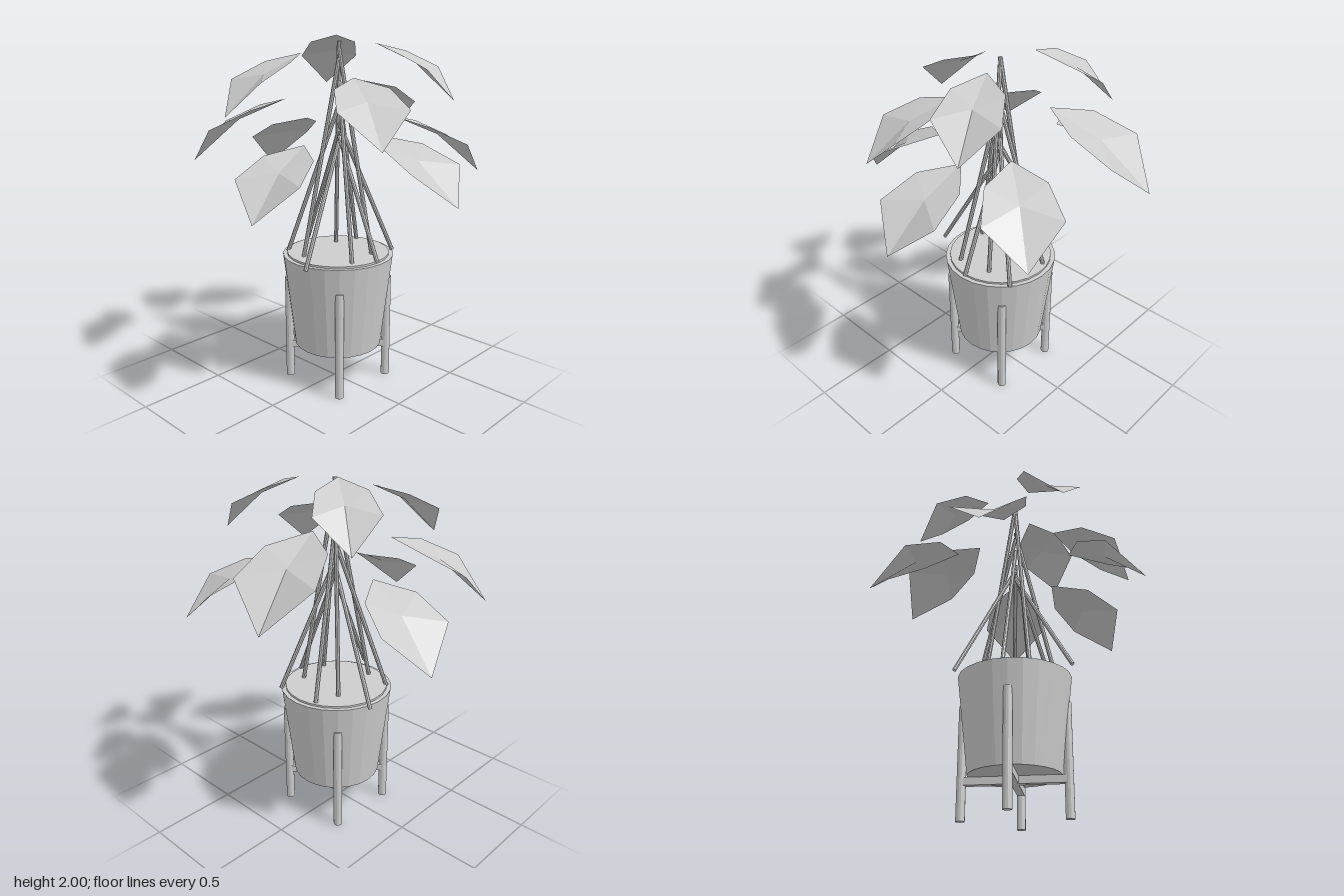
import * as THREE from 'three';

const CX = 0.005, CZ = -0.025;

export function createModel() {
  const group = new THREE.Group();
  const grey = new THREE.MeshStandardMaterial({ color: 0xcccccc, flatShading: true, side: THREE.DoubleSide });
  grey.name = 'grey';

  const add = (name, geometry, x = 0, y = 0, z = 0) => {
    const mesh = new THREE.Mesh(geometry, grey);
    mesh.name = name;
    mesh.position.set(x, y, z);
    group.add(mesh);
    return mesh;
  };

  // Tapered pot with the soil rising just above its rim
  add('pot', new THREE.CylinderGeometry(0.32, 0.255, 0.55, 24), CX, 0.503, CZ);
  add('soil', new THREE.CylinderGeometry(0.295, 0.295, 0.04, 24), CX, 0.769, CZ);

  // Stand: four round legs and two crossed bars under the pot
  for (const sx of [-1, 1]) {
    for (const sz of [-1, 1]) {
      add('standLeg', new THREE.CylinderGeometry(0.025, 0.025, 0.63, 12), CX + sx * 0.203, 0.315, CZ + sz * 0.203);
    }
    const bar = add('standBar', new THREE.BoxGeometry(0.56, 0.042, 0.042), CX, 0.207, CZ);
    bar.rotation.y = sx * Math.PI / 4;
  }

  // A straight round rod between two points
  const rod = (name, a, b, radius) => {
    const dir = b.clone().sub(a);
    const mesh = add(name, new THREE.CylinderGeometry(radius, radius, dir.length(), 8));
    mesh.position.copy(a).add(b).multiplyScalar(0.5);
    mesh.quaternion.setFromUnitVectors(new THREE.Vector3(0, 1, 0), dir.normalize());
  };

  // Six-cornered leaf around a middle point: [along, across, drop] as fractions
  const outline = [
    [0, 0, 0], [0.32, 0.31, 0.14], [0.73, 0.395, 0.43],
    [1, 0, 1], [0.73, -0.395, 0.43], [0.32, -0.31, 0.14],
  ];
  const leaf = (base, tip) => {
    const run = new THREE.Vector3(tip.x - base.x, 0, tip.z - base.z);
    const side = new THREE.Vector3(run.z, 0, -run.x);
    const drop = base.y - tip.y;
    const point = ([along, across, fall]) => base.clone()
      .addScaledVector(run, along).addScaledVector(side, across)
      .add(new THREE.Vector3(0, -drop * fall, 0));
    const centre = point([0.5, 0, 0.33]);
    const corners = outline.map(point);
    const points = corners.flatMap((p, i) => [centre, corners[(i + 1) % 6], p]);
    const geometry = new THREE.BufferGeometry().setFromPoints(points);
    // Keep the upper side as the front
    const n = new THREE.Triangle(points[0], points[1], points[2]).getNormal(new THREE.Vector3());
    if (n.y < 0) {
      geometry.setFromPoints(corners.flatMap((p, i) => [centre, p, corners[(i + 1) % 6]]));
    }
    geometry.computeVertexNormals();
    add('leaf', geometry);
  };

  // Leaf base and tip positions
  const leaves = [
    [-0.08, 1.75, -0.28, -0.25, 1.39, -0.80],
    [-0.34, 1.52, -0.12, -0.82, 1.18, -0.25],
    [-0.12, 2.00, -0.14, -0.45, 1.71, -0.40],
    [0.20, 1.56, -0.28, 0.51, 1.24, -0.67],
    [0.19, 1.96, -0.11, 0.575, 1.67, -0.30],
    [0.30, 1.49, -0.03, 0.81, 1.18, -0.03],
    [0.22, 1.79, 0.09, 0.62, 1.48, 0.33],
    [0.11, 1.46, 0.34, 0.23, 1.15, 0.795],
    [-0.06, 1.91, 0.19, -0.17, 1.60, 0.62],
    [-0.22, 1.66, 0.16, -0.625, 1.31, 0.50],
  ];
  // Each leaf has a stem leaning from the pot's edge to the middle
  for (const [bx, by, bz, tx, ty, tz] of leaves) {
    leaf(new THREE.Vector3(bx, by, bz), new THREE.Vector3(tx, ty, tz));
    rod('stem', new THREE.Vector3(bx, 0.78, bz), new THREE.Vector3(0.01, by - 0.03, CZ), 0.012);
  }

  return group;
}
